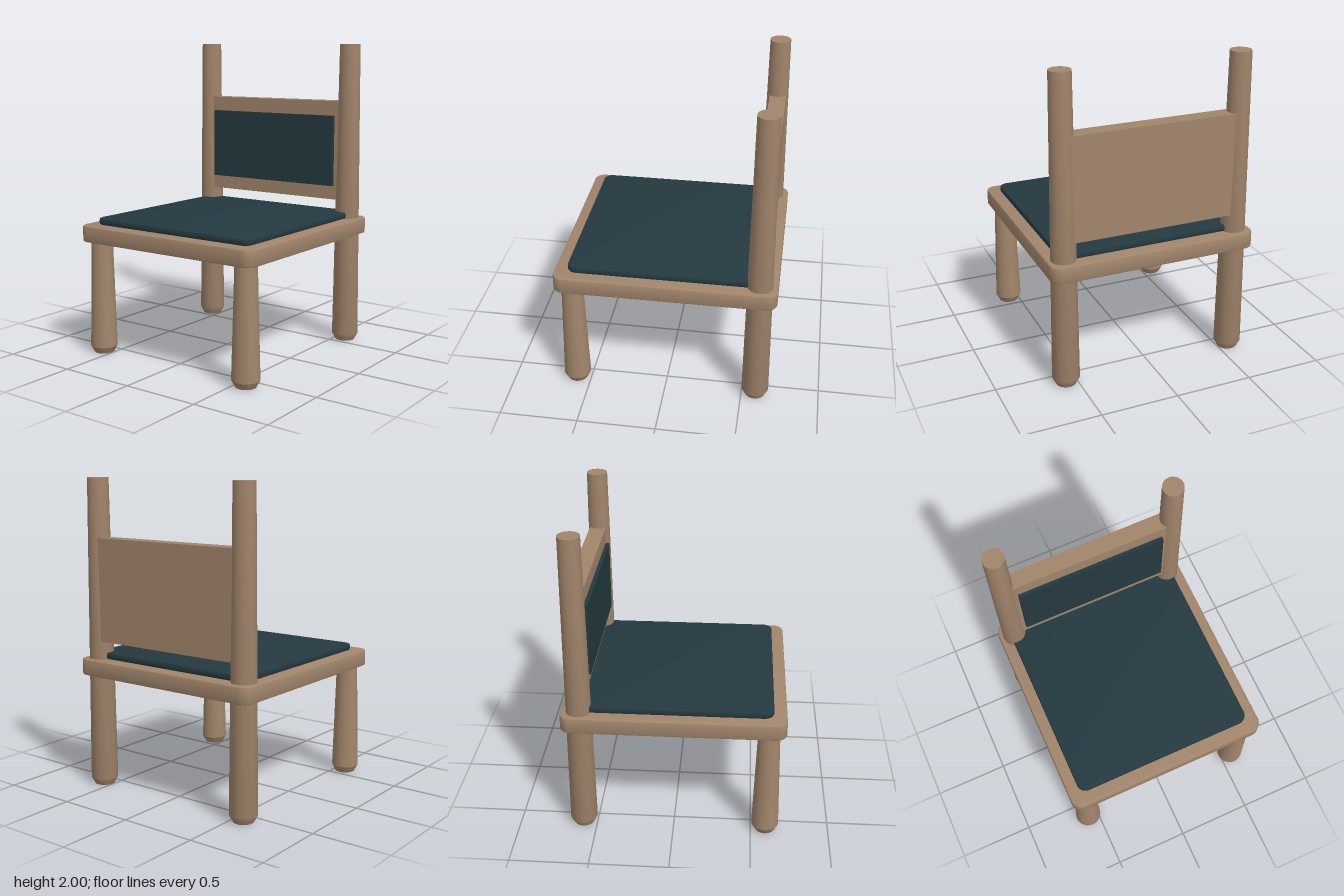
import * as THREE from 'three';
import { toCreasedNormals } from 'three/addons/utils/BufferGeometryUtils.js';

const wood = new THREE.MeshStandardMaterial({ color: 0xa1856b });
wood.name = 'wood';
const fabric = new THREE.MeshStandardMaterial({ color: 0x243940 });
fabric.name = 'darkFabric';

// Slab with rounded plan corners and softly bevelled rims, lying flat from y = 0 up to height
function slab(width, depth, height, radius, bevel) {
  const x = width / 2 - bevel, y = depth / 2 - bevel, r = radius - bevel;
  const s = new THREE.Shape();
  s.moveTo(-x + r, -y);
  s.lineTo(x - r, -y);
  s.absarc(x - r, -y + r, r, -Math.PI / 2, 0);
  s.lineTo(x, y - r);
  s.absarc(x - r, y - r, r, 0, Math.PI / 2);
  s.lineTo(-x + r, y);
  s.absarc(-x + r, y - r, r, Math.PI / 2, Math.PI);
  s.lineTo(-x, -y + r);
  s.absarc(-x + r, -y + r, r, Math.PI, Math.PI * 1.5);
  const g = new THREE.ExtrudeGeometry(s, {
    depth: height - 2 * bevel, bevelEnabled: true, bevelThickness: bevel,
    bevelSize: bevel, bevelSegments: 2, curveSegments: 8,
  });
  g.translate(0, 0, bevel).rotateX(-Math.PI / 2);
  return toCreasedNormals(g, 0.6);
}

// Tapered round post with a chamfered foot
function post(height, topRadius) {
  const profile = [[0, 0], [0.064, 0], [0.087, 0.043], [topRadius, height], [0, height]];
  const g = new THREE.LatheGeometry(profile.map(([r, y]) => new THREE.Vector2(r, y)), 32);
  return toCreasedNormals(g, 0.5);
}

export function createModel() {
  const model = new THREE.Group();
  model.name = 'chair';
  const add = (name, geometry, material, x, y, z) => {
    const mesh = new THREE.Mesh(geometry, material);
    mesh.name = name;
    mesh.position.set(x, y, z);
    model.add(mesh);
  };

  // Seat board and cushion
  add('seat', slab(1.35, 1.4, 0.107, 0.07, 0.012), wood, 0, 0.74, 0);
  add('seatCushion', slab(1.2, 1.235, 0.043, 0.06, 0.012), fabric, 0, 0.847, 0);

  // Front legs stop under the seat, back posts run up past the backrest
  const frontLeg = post(0.75, 0.068), backPost = post(2, 0.067);
  for (const [side, x] of [['left', 0.57], ['right', -0.57]]) {
    add(side + 'FrontLeg', frontLeg, wood, x, 0, 0.592);
    add(side + 'BackPost', backPost, wood, x, 0, -0.588);
  }

  // Backrest board between the posts, with a thin pad on its front
  add('backrest', new THREE.BoxGeometry(1.12, 0.66, 0.108), wood, 0, 1.295, -0.591);
  add('backrestPad', new THREE.BoxGeometry(0.98, 0.47, 0.027), fabric, 0, 1.293, -0.5255);
  return model;
}
